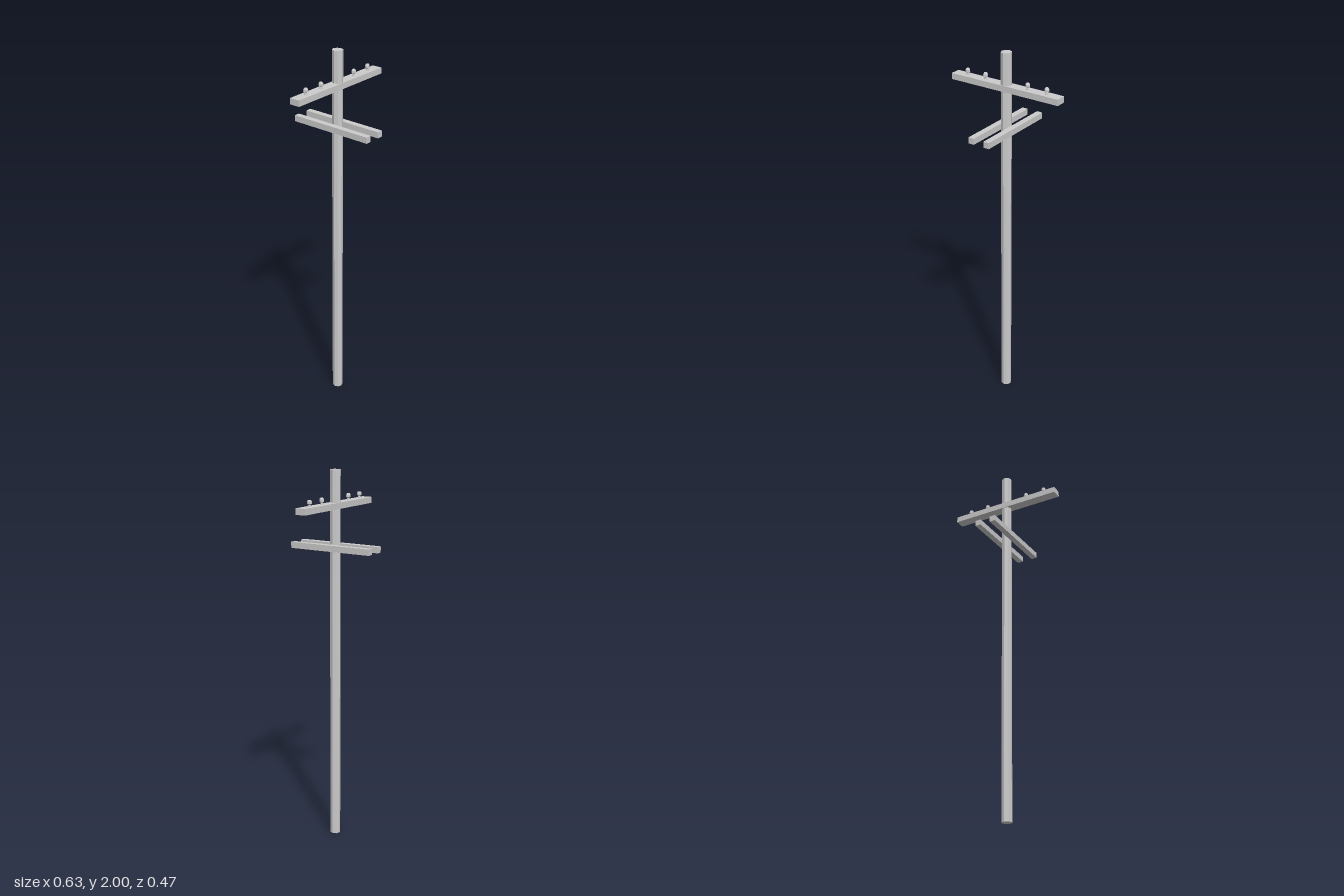
import * as THREE from 'three';

const material = new THREE.MeshStandardMaterial({ color: 0xcccccc, flatShading: true });

export function createModel() {
  const group = new THREE.Group();

  function add(name, geometry, x, y, z) {
    const mesh = new THREE.Mesh(geometry, material);
    mesh.name = name;
    mesh.position.set(x, y, z);
    group.add(mesh);
  }

  // Octagonal pole
  add('pole', new THREE.CylinderGeometry(0.028, 0.028, 2, 8), 0, 1, 0);

  // Upper crossarm, running left to right through the pole
  add('crossarm', new THREE.BoxGeometry(0.634, 0.032, 0.056), 0, 1.818, 0);

  // Pair of lower beams, running front to back on either side of the pole
  for (const side of [-1, 1]) {
    add('lowerBeam', new THREE.BoxGeometry(0.032, 0.032, 0.47), side * 0.045, 1.604, 0);
  }

  // Insulators: a thin stem under a wider, bevelled cap
  const profile = [
    [0, 0], [0.008, 0], [0.006, 0.012], [0.012, 0.016],
    [0.012, 0.028], [0.008, 0.035], [0, 0.035],
  ].map(([r, y]) => new THREE.Vector2(r, y));
  const insulator = new THREE.LatheGeometry(profile, 8);
  for (const x of [-0.236, -0.126, 0.126, 0.236]) {
    add('insulator', insulator, x, 1.833, 0);
  }

  return group;
}
